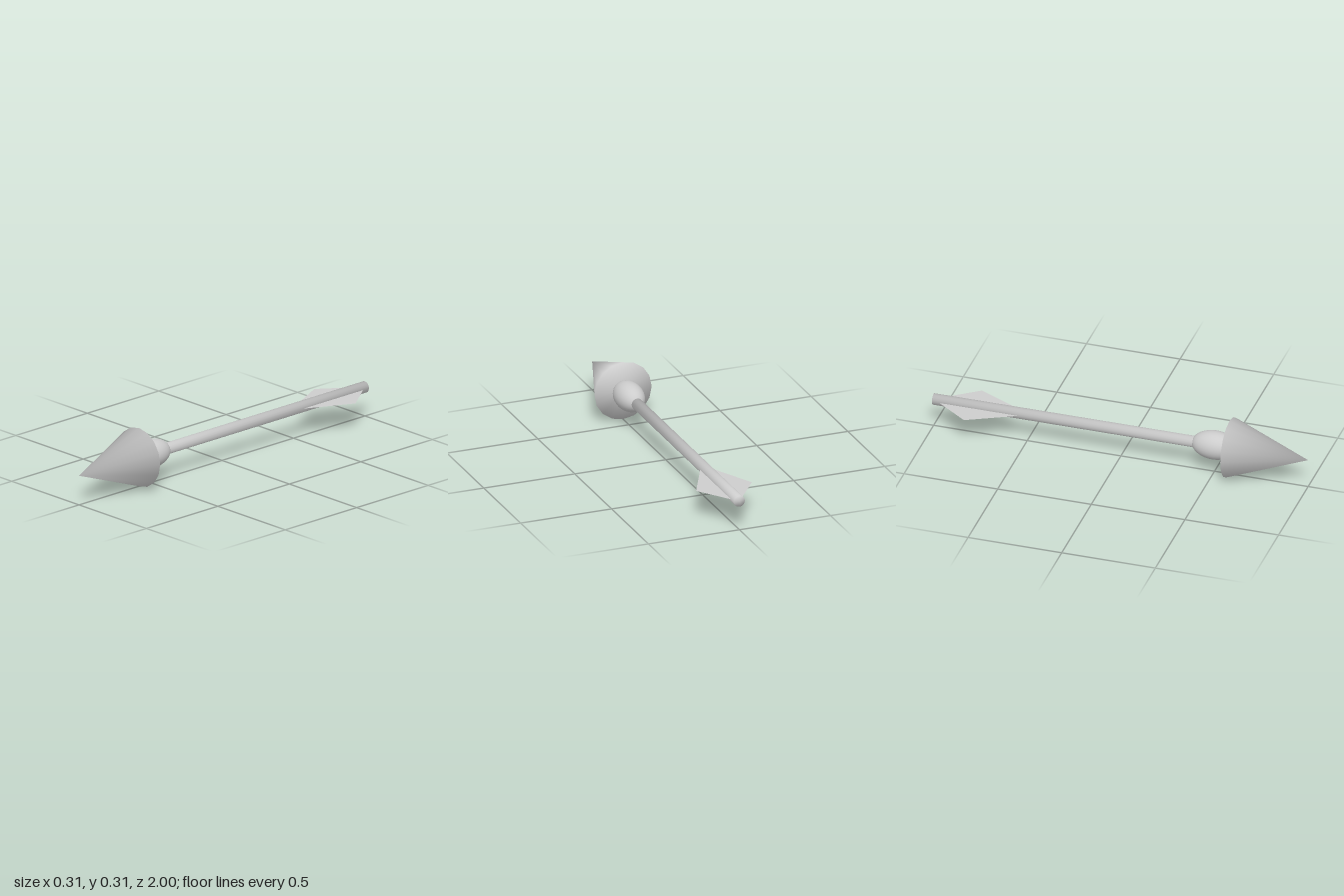
import * as THREE from 'three';
import { mergeVertices } from 'three/addons/utils/BufferGeometryUtils.js';

const AXIS_Y = 0.158;

// Weld a geometry and give it smooth normals weighted by corner angle
function smooth(source) {
  source.deleteAttribute('uv');
  source.deleteAttribute('normal');
  const geo = mergeVertices(source, 1e-5);
  const pos = geo.attributes.position;
  const index = geo.index.array;
  const sums = Array.from({ length: pos.count }, () => new THREE.Vector3());
  for (let i = 0; i < index.length; i += 3) {
    const ids = [index[i], index[i + 1], index[i + 2]];
    const p = ids.map((id) => new THREE.Vector3().fromBufferAttribute(pos, id));
    const n = p[1].clone().sub(p[0]).cross(p[2].clone().sub(p[0]));
    if (n.length() < 1e-10) continue;
    n.normalize();
    for (let k = 0; k < 3; k++) {
      const a = p[(k + 1) % 3].clone().sub(p[k]);
      const b = p[(k + 2) % 3].clone().sub(p[k]);
      sums[ids[k]].addScaledVector(n, a.angleTo(b));
    }
  }
  const normals = sums.flatMap((v) => v.normalize().toArray());
  geo.setAttribute('normal', new THREE.Float32BufferAttribute(normals, 3));
  return geo;
}

export function createModel() {
  const group = new THREE.Group();
  group.name = 'arrow';

  const grey = new THREE.MeshStandardMaterial({ color: 0xcccccc, side: THREE.DoubleSide });
  grey.name = 'light grey';

  const add = (name, geometry, z) => {
    const mesh = new THREE.Mesh(geometry, grey);
    mesh.name = name;
    mesh.position.set(0, AXIS_Y, z);
    group.add(mesh);
  };

  // Pointed head, softly shaded round its rim
  add('arrowHead', smooth(new THREE.ConeGeometry(0.157, 0.42, 16).rotateX(Math.PI / 2)), 0.79);

  // Egg-shaped collar behind the head
  const collar = new THREE.SphereGeometry(1, 32, 20).rotateX(Math.PI / 2).scale(0.075, 0.075, 0.12);
  add('collar', smooth(collar), 0.5);

  // Long round shaft, its front end buried in the collar
  add('shaft', smooth(new THREE.CylinderGeometry(0.03, 0.03, 1.45, 16).rotateX(Math.PI / 2)), -0.275);

  // Flat kite-shaped tail fin lying level through the shaft
  const kite = new THREE.Shape([
    new THREE.Vector2(0, 1),
    new THREE.Vector2(-0.153, 0.79),
    new THREE.Vector2(0, 0.48),
    new THREE.Vector2(0.153, 0.79),
  ]);
  add('tailFin', new THREE.ShapeGeometry(kite).rotateX(-Math.PI / 2), 0);

  return group;
}
